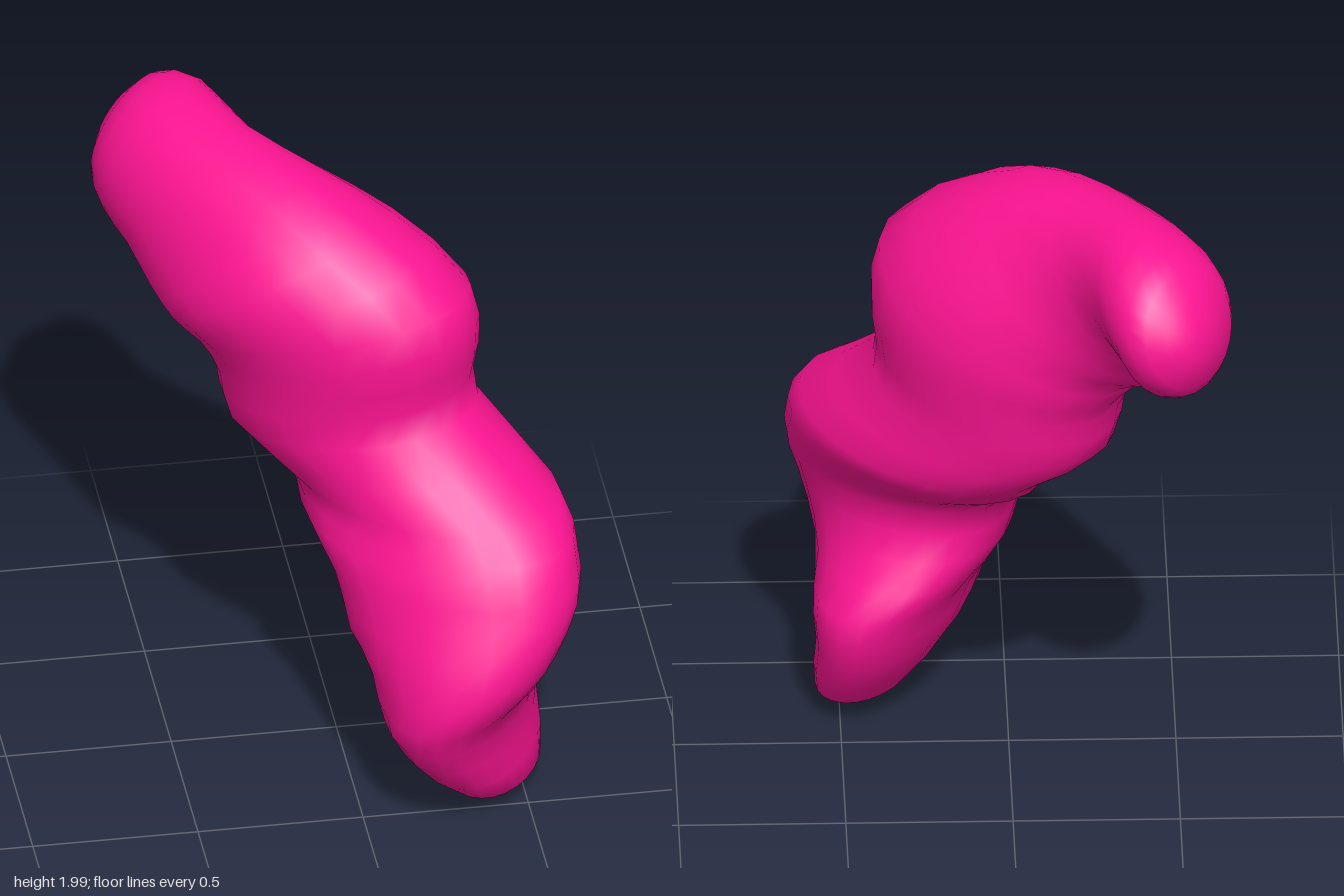
import * as THREE from 'three';

const SIDES = 24, STEPS = 2;

// Cross-sections along the bent body, bottom to top:
// centre x, y, z, heading and tilt in degrees, long and short half-widths
const SECTIONS = [
  [0.44, 0.00, 0.33, -22, 0, 0.03, 0.03],
  [0.42, 0.07, 0.34, -22, 0, 0.235, 0.135],
  [0.34, 0.26, 0.34, -22, 0, 0.385, 0.195],
  [0.31, 0.43, 0.36, -19, 0, 0.44, 0.24],
  [0.285, 0.60, 0.41, 13, 0, 0.41, 0.30],
  [0.295, 0.77, 0.39, 40, 0, 0.42, 0.30],
  [0.265, 0.89, 0.285, 38, 1, 0.485, 0.315],
  [0.235, 1.00, 0.18, 36, 3, 0.49, 0.315],
  [0.045, 1.18, 0.025, 45, 11, 0.41, 0.315],
  [0.03, 1.35, 0.015, 45, 13, 0.435, 0.33],
  [-0.01, 1.50, 0.00, 45, 20, 0.47, 0.345],
  [-0.15, 1.62, -0.08, 45, 35, 0.405, 0.33],
  [-0.275, 1.685, -0.205, 45, 46, 0.36, 0.26],
  [-0.39, 1.74, -0.37, 45, 56, 0.285, 0.22],
  [-0.465, 1.76, -0.575, 45, 70, 0.25, 0.235],
  [-0.52, 1.77, -0.68, 45, 75, 0.185, 0.18],
  [-0.55, 1.77, -0.74, 45, 75, 0.06, 0.06],
];

// Smooth blend of the section values at position t
function sectionAt(t) {
  const last = SECTIONS.length - 1;
  const i = Math.min(Math.floor(t), last - 1), f = t - i;
  const p = [i - 1, i, i + 1, i + 2].map(k => SECTIONS[Math.max(0, Math.min(last, k))]);
  return p[1].map((b, k) => {
    const a = p[0][k], c = p[2][k], d = p[3][k];
    return b + 0.5 * f * (c - a + f * (2 * a - 5 * b + 4 * c - d + f * (3 * (b - c) + d - a)));
  });
}

function bodyGeometry() {
  const pos = [], index = [];
  const rings = (SECTIONS.length - 1) * STEPS;
  for (let r = 0; r <= rings; r++) {
    const [x, y, z, heading, tilt, a, b] = sectionAt(r / STEPS);
    const h = THREE.MathUtils.degToRad(heading), t = THREE.MathUtils.degToRad(tilt);
    for (let j = 0; j < SIDES; j++) {
      // Start each ring at the same compass direction so the skin does not twist
      const ang = (j / SIDES) * Math.PI * 2 + h;
      const u = b * Math.cos(ang), v = a * Math.sin(ang);
      pos.push(
        x + u * Math.cos(h) + v * Math.cos(t) * Math.sin(h),
        y + v * Math.sin(t),
        z - u * Math.sin(h) + v * Math.cos(t) * Math.cos(h));
      if (r < rings) {
        const p = r * SIDES + j, q = r * SIDES + (j + 1) % SIDES;
        index.push(p, p + SIDES, q, q, p + SIDES, q + SIDES);
      }
    }
  }
  // Close both ends with a centre point
  const n = pos.length / 3, first = SECTIONS[0], end = SECTIONS[SECTIONS.length - 1];
  pos.push(...first.slice(0, 3), ...end.slice(0, 3));
  for (let j = 0; j < SIDES; j++) {
    const k = (j + 1) % SIDES, top = rings * SIDES;
    index.push(n, j, k, n + 1, top + k, top + j);
  }
  const geo = new THREE.BufferGeometry();
  geo.setAttribute('position', new THREE.Float32BufferAttribute(pos, 3));
  geo.setIndex(index);
  geo.computeVertexNormals();
  return geo;
}

export function createModel() {
  const group = new THREE.Group();
  group.name = 'bentBlob';
  const body = new THREE.Mesh(bodyGeometry(), new THREE.MeshStandardMaterial({ color: 0xff1493 }));
  body.name = 'body';
  group.add(body);
  return group;
}
